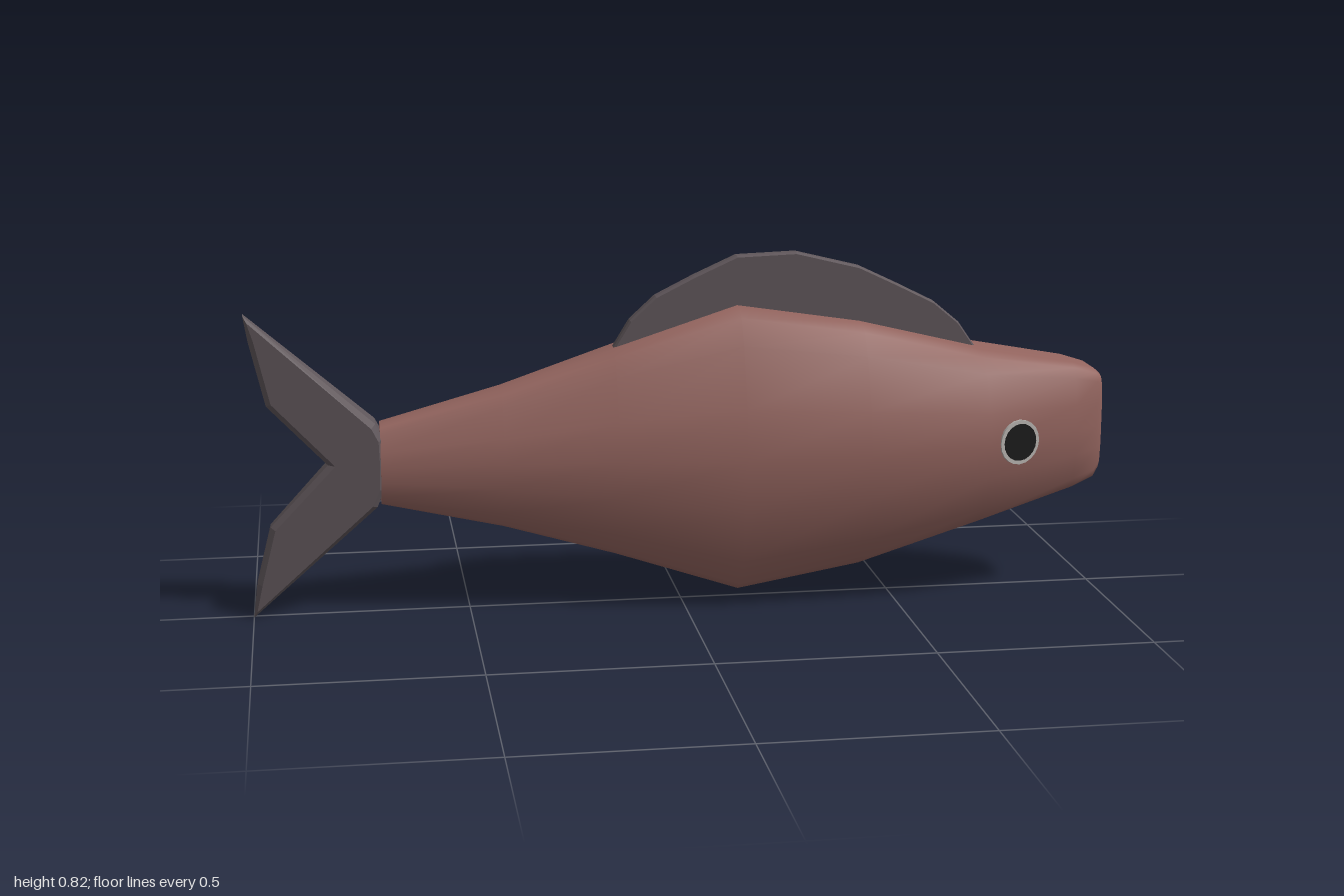
import * as THREE from 'three';

const mat = (name, color) => {
  const m = new THREE.MeshStandardMaterial({ color });
  m.name = name;
  return m;
};
const lerp = THREE.MathUtils.lerp;

// Half cross-sections (z, y) from top to bottom: rounded belly and boxy snout
const ROUND = [[0.25, 1], [0.44, 0.94], [0.64, 0.77], [0.92, 0.36], [1, 0],
  [0.94, -0.36], [0.7, -0.74], [0.44, -0.94], [0.25, -1]];
const BOXY = [[0.55, 1], [0.8, 0.94], [0.93, 0.8], [1, 0.4], [1, 0],
  [1, -0.4], [0.93, -0.8], [0.8, -0.94], [0.55, -1]];

// Body stations: x, bottom, top, half width, boxiness
const STATIONS = [
  [-0.7, 0.262, 0.45, 0.053, 0.4],
  [-0.42, 0.2, 0.525, 0.097, 0.1],
  [-0.16, 0.125, 0.612, 0.137, 0],
  [0.13, 0.03, 0.705, 0.18, 0],
  [0.42, 0.08, 0.66, 0.18, 0],
  [0.7, 0.175, 0.592, 0.18, 0.3],
  [0.93, 0.245, 0.552, 0.101, 0.8],
  [0.985, 0.268, 0.535, 0.081, 1],
  [1, 0.29, 0.522, 0.07, 1],
];

function ring([x, low, high, width, box]) {
  const mid = (low + high) / 2, half = (high - low) / 2;
  const side = ROUND.map(([z, y], i) => [
    x, mid + half * lerp(y, BOXY[i][1], box), width * lerp(z, BOXY[i][0], box)]);
  const mirrored = side.map(([px, y, z]) => [px, y, -z]).reverse();
  return [...side, ...mirrored];
}

// Smooth loft along x with separate flat end caps
function bodyGeometry() {
  const rings = STATIONS.map(ring);
  const n = rings[0].length, pos = rings.flat(2), index = [];
  for (let i = 0; i < rings.length - 1; i++) {
    for (let j = 0; j < n; j++) {
      const a = i * n + j, b = i * n + (j + 1) % n;
      index.push(a, b, a + n, b, b + n, a + n);
    }
  }
  [[rings[0], true], [rings[rings.length - 1], false]].forEach(([r, back]) => {
    const start = pos.length / 3;
    pos.push(...r.flat());
    for (let j = 1; j < n - 1; j++) {
      if (back) index.push(start, start + j + 1, start + j);
      else index.push(start, start + j, start + j + 1);
    }
  });
  const g = new THREE.BufferGeometry();
  g.setAttribute('position', new THREE.Float32BufferAttribute(pos, 3));
  g.setIndex(index);
  g.computeVertexNormals();
  return g;
}

// Bevelled plate in the xy plane whose half thickness depends on x
function finGeometry(points, bevel, halfThickness) {
  const shape = new THREE.Shape(points.map(([x, y]) => new THREE.Vector2(x, y)));
  const g = new THREE.ExtrudeGeometry(shape, {
    depth: 1.2, bevelEnabled: true, bevelThickness: 0.4, bevelSize: bevel,
    bevelOffset: -bevel, bevelSegments: 1,
  });
  g.translate(0, 0, -0.6);
  const p = g.attributes.position;
  for (let i = 0; i < p.count; i++) p.setZ(i, p.getZ(i) * halfThickness(p.getX(i)));
  g.computeVertexNormals();
  return g;
}

export function createModel() {
  const group = new THREE.Group();
  group.name = 'fish';
  const skin = mat('skin', 0x94655f);
  const fin = mat('fin', 0x5f565a);
  const eyeRim = mat('eyeRim', 0xb4b0ac);
  const pupil = mat('pupil', 0x1a1a1a);
  const add = (name, geometry, material, parent = group) => {
    const m = new THREE.Mesh(geometry, material);
    m.name = name;
    parent.add(m);
    return m;
  };

  add('body', bodyGeometry(), skin);

  // Dorsal fin, with its root sunk into the back
  add('dorsalFin', finGeometry([
    [0.7, 0.592], [0.66, 0.65], [0.6, 0.7], [0.51, 0.745], [0.42, 0.788],
    [0.27, 0.825], [0.13, 0.82], [0.03, 0.775], [-0.06, 0.73], [-0.12, 0.675],
    [-0.16, 0.61], [-0.14, 0.56], [0.13, 0.62], [0.42, 0.59], [0.68, 0.53],
  ], 0.004, () => 0.018), fin);

  // Forked tail, thinning toward the tips
  add('tailFin', finGeometry([
    [-0.69, 0.36], [-0.692, 0.42], [-0.71, 0.455], [-1, 0.71], [-0.99, 0.65],
    [-0.955, 0.5], [-0.82, 0.36], [-0.955, 0.215], [-0.99, 0.08], [-1, 0],
    [-0.71, 0.258], [-0.692, 0.3],
  ], 0.012, x => lerp(0.02, 0.054, THREE.MathUtils.clamp((x + 1) / 0.3, 0, 1))), fin);

  // Eyes: thin discs lying on the cheeks
  for (const s of [1, -1]) {
    const eye = new THREE.Group();
    eye.name = s > 0 ? 'rightEye' : 'leftEye';
    eye.position.set(0.776, 0.388, s * 0.154);
    eye.rotation.y = s > 0 ? 0.325 : Math.PI - 0.325;
    group.add(eye);
    const disc = (r, d) => new THREE.CylinderGeometry(r, r, d, 20).rotateX(Math.PI / 2);
    add('eyeRim', disc(0.053, 0.006), eyeRim, eye);
    add('pupil', disc(0.044, 0.009), pupil, eye);
  }
  return group;
}
